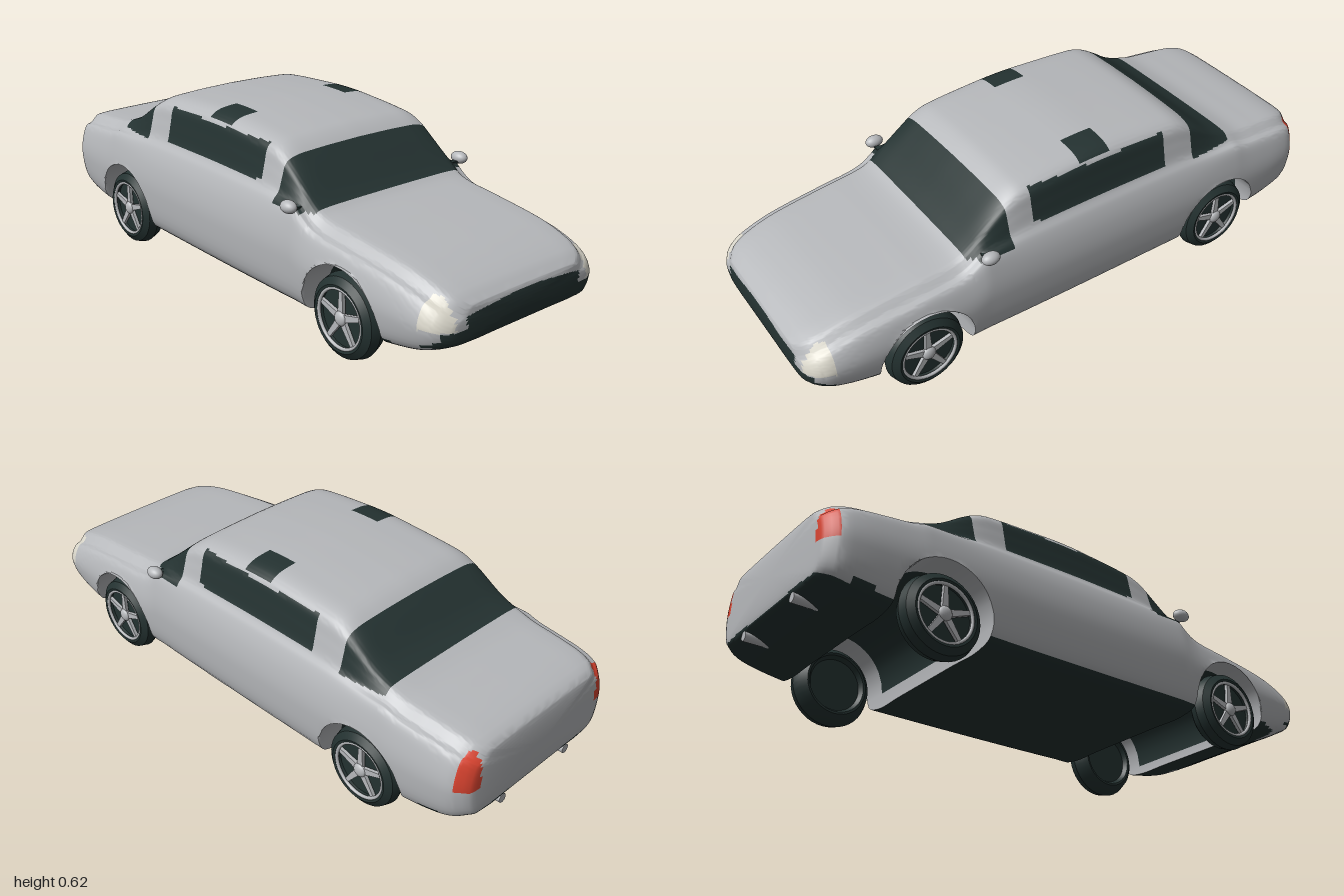
import * as THREE from 'three';
import { toCreasedNormals } from 'three/addons/utils/BufferGeometryUtils.js';

const mat = (name, color) => Object.assign(new THREE.MeshStandardMaterial({ color }), { name });

// Smooth interpolation through [z, value] keys, z descending
function profile(keys) {
  const slope = (i) => {
    const a = keys[Math.max(0, i - 1)], b = keys[Math.min(keys.length - 1, i + 1)];
    return (b[1] - a[1]) / (b[0] - a[0]);
  };
  return (z) => {
    if (z >= keys[0][0]) return keys[0][1];
    for (let i = 0; i < keys.length - 1; i++) {
      const [z0, v0] = keys[i], [z1, v1] = keys[i + 1];
      if (z < z1) continue;
      const h = z1 - z0, t = (z - z0) / h, t2 = t * t, t3 = t2 * t;
      return v0 * (2 * t3 - 3 * t2 + 1) + v1 * (3 * t2 - 2 * t3)
        + h * (slope(i) * (t3 - 2 * t2 + t) + slope(i + 1) * (t3 - t2));
    }
    return keys[keys.length - 1][1];
  };
}

const topY = profile([[0.985, 0.295], [0.96, 0.315], [0.9, 0.34], [0.8, 0.365], [0.6, 0.39], [0.46, 0.408],
  [0.4, 0.44], [0.3, 0.53], [0.25, 0.572], [0.2, 0.594], [0, 0.616], [-0.1, 0.621], [-0.2, 0.618],
  [-0.4, 0.605], [-0.45, 0.592], [-0.5, 0.562], [-0.6, 0.49], [-0.7, 0.452], [-0.8, 0.44], [-0.9, 0.43],
  [-0.96, 0.415], [-0.985, 0.4]]);
const bottomY = profile([[0.985, 0.175], [0.9, 0.14], [0.8, 0.118], [0.72, 0.108], [0.45, 0.095],
  [-0.45, 0.095], [-0.72, 0.108], [-0.9, 0.135], [-0.985, 0.165]]);
const halfWidth = profile([[0.985, 0.305], [0.97, 0.33], [0.94, 0.35], [0.9, 0.36], [0.8, 0.37], [0.6, 0.379],
  [0.3, 0.385], [-0.3, 0.385], [-0.6, 0.385], [-0.8, 0.379], [-0.9, 0.371], [-0.95, 0.358], [-0.985, 0.325]]);

const AXLE_Z = 0.6, ARCH_R = 0.168, ARCH_Y = 0.143, END = 0.985;
const archY = (z) => {
  const d = Math.abs(z) - AXLE_Z;
  return ARCH_Y + Math.sqrt(Math.max(0, ARCH_R * ARCH_R - d * d));
};

// Closed cross-section: floor centre, up the left flank, over the top and down the other side
function section(z, inArch) {
  const W = halfWidth(z), T = topY(z), b = bottomY(z), S = Math.min(0.42, T - 0.04);
  const h = T - S, k = S - b;
  const pts = [[0, b], [0.4, b], [0.76, b], [0.93, b + 0.08 * k], [1, b + 0.5 * k], [0.98, b + 0.8 * k], [0.925, S],
    [0.87, S + 0.17 * h], [0.83, S + 0.5 * h], [0.79, S + 0.8 * h], [0.7, S + 0.92 * h], [0.45, S + 0.975 * h], [0, T]]
    .map(([x, y]) => new THREE.Vector3(x * W, y, 0));
  const n = (pts.length - 1) * 6;
  const half = new THREE.CatmullRomCurve3(pts).getPoints(n);
  const floor = inArch ? archY(z) : -1;
  for (const p of half) p.y = Math.max(p.y, floor);
  const mirror = half.slice(1, -1).reverse().map((p) => new THREE.Vector3(-p.x, p.y, 0));
  return [...half, ...mirror];
}

// Paint layout: 0 body, 1 dark trim and glass, 2 headlight, 3 tail light
function paint(c, n) {
  const x = Math.abs(c.x), { y, z } = c;
  const nearArch = Math.abs(Math.abs(z) - AXLE_Z) < ARCH_R + 0.001;
  if (nearArch && y < 0.313 && Math.abs(n.x) < 0.3 && n.y < 0.01) {
    return x > 0.28 || (Math.abs(n.z) > 0.9 && y < 0.13) ? 0 : 1;
  }
  // Nose: headlights, grille and lower bumper
  if (z > 0.91 && x > 0.285 && y > 0.224 && y < 0.315) return 2;
  if (z > 0.95 && y > 0.165) {
    if (x < 0.245 && y < 0.28 - 0.35 * x * x) return 1;
    if (x < 0.32 && y < 0.222) return 1;
  }
  if (z > 0.8 && y < 0.168) return x > 0.21 && y > 0.136 ? 0 : 1;
  // Tail lights
  if (z < -0.95 && x > 0.285 && y > 0.275 && y < 0.395) return 3;
  // Underside and sills
  if (y < bottomY(z) + (z < -0.9 ? 0.012 : 0.029)) return 1;
  // Windscreen, rear window, side windows and roof panels
  if (z > 0.27 && z < 0.425 && y > 0.41) return 1;
  if (z < -0.48 && z > -0.655 && y > 0.437) return 1;
  if (z < 0.18 && z > -0.36 && x > 0.25 && y > 0.455 && y < 0.575) return 1;
  if (z < -0.02 && z > -0.14 && x > 0.2 && y > 0.585) return 1;
  return 0;
}

function bodyGeometry() {
  // Stations along the length, with extra ones on the paint and arch edges
  const zs = [0.27, 0.425, -0.48, -0.655, 0.18, -0.36, -0.02, -0.14, 0.91, -0.95, 0.95];
  for (let i = 0; i <= 140; i++) zs.push(END - (i / 140) * 2 * END);
  const stations = zs.map((z) => ({ z, arch: Math.abs(Math.abs(z) - AXLE_Z) < ARCH_R }));
  for (const s of [1, -1]) for (const e of [1, -1]) {
    const z = s * AXLE_Z + e * ARCH_R;
    stations.push({ z: z + e * 1e-5, arch: false }, { z: z - e * 1e-5, arch: true });
  }
  stations.sort((a, b) => b.z - a.z);
  const rings = stations.map(({ z, arch }) => section(z, arch).map((p) => p.setZ(z)));
  // Gently domed nose and tail
  const cap = (ring, sign) => {
    const cy = (topY(sign * END) + bottomY(sign * END)) / 2;
    return Array.from({ length: 24 }, (_, i) => {
      const s = i / 24;
      return ring.map((p) => new THREE.Vector3(p.x * s, cy + (p.y - cy) * s,
        sign * (END + (1 - END) * Math.sqrt(1 - s * s))));
    });
  };
  const all = [...cap(rings[0], 1), ...rings, ...cap(rings[rings.length - 1], -1).reverse()];

  const buckets = [[], [], [], []], n = all[0].length;
  const tri = new THREE.Triangle(), c = new THREE.Vector3(), normal = new THREE.Vector3();
  const flat = all.flat();
  const add = (tris) => {
    c.set(0, 0, 0);
    normal.set(0, 0, 0);
    for (const t of tris) {
      tri.set(flat[t[0]], flat[t[1]], flat[t[2]]);
      normal.addScaledVector(tri.getNormal(new THREE.Vector3()), tri.getArea());
      c.add(tri.getMidpoint(new THREE.Vector3()));
    }
    const slot = paint(c.divideScalar(2), normal.normalize());
    for (const t of tris) {
      tri.set(flat[t[0]], flat[t[1]], flat[t[2]]);
      if (tri.getArea() > 1e-9) buckets[slot].push(...t);
    }
  };
  for (let i = 0; i < all.length - 1; i++) for (let j = 0; j < n; j++) {
    const k = (j + 1) % n, a = i * n + j, b = i * n + k, d = a + n, e = b + n;
    add([[a, d, b], [b, d, e]]);
  }
  const geo = new THREE.BufferGeometry().setFromPoints(flat);
  geo.setIndex(buckets.flat());
  let start = 0;
  buckets.forEach((list, m) => {
    geo.addGroup(start, list.length, m);
    start += list.length;
  });
  return toCreasedNormals(geo, 0.7);
}

export function createModel() {
  const silver = mat('silver paint', 0xb6b8bb), dark = mat('dark glass and rubber', 0x243231);
  const cream = mat('headlight cream', 0xd9d6ca), red = mat('tail light red', 0xd9432f);
  const car = new THREE.Group();
  car.name = 'car';
  const mesh = (name, geo, material, parent, x = 0, y = 0, z = 0) => {
    const m = new THREE.Mesh(geo, material);
    m.name = name;
    m.position.set(x, y, z);
    parent.add(m);
    return m;
  };
  mesh('body', bodyGeometry(), [silver, dark, cream, red], car);

  // Wheel parts, axis along x with the outer face at +x
  const tyreGeo = toCreasedNormals(new THREE.LatheGeometry([[0, -0.03], [0.09, -0.03], [0.1, -0.046], [0.108, -0.047],
    [0.126, -0.03], [0.138, 0], [0.13, 0.03], [0.108, 0.046], [0.1, 0.044], [0.096, 0.022], [0, 0.022]]
    .map(([r, y]) => new THREE.Vector2(r, y)), 40).rotateZ(-Math.PI / 2), 0.6);
  const rimGeo = new THREE.TorusGeometry(0.096, 0.006, 8, 40).rotateY(Math.PI / 2);
  const hubGeo = new THREE.SphereGeometry(0.024, 20, 12).scale(0.55, 1, 1);
  const spokeShape = new THREE.Shape([[-0.012, 0.01], [0.012, 0.01], [0.007, 0.095], [-0.007, 0.095]]
    .map(([x, y]) => new THREE.Vector2(x, y)));
  const spokeGeo = new THREE.ExtrudeGeometry(spokeShape, { depth: 0.012, bevelEnabled: false }).rotateY(Math.PI / 2);

  for (const side of [1, -1]) {
    const label = side > 0 ? 'left' : 'right';
    for (const end of [1, -1]) {
      const wheel = new THREE.Group();
      wheel.name = `${label}${end > 0 ? 'Front' : 'Rear'}Wheel`;
      wheel.position.set(side * 0.327, 0.141, end * AXLE_Z);
      if (side < 0) wheel.rotation.y = Math.PI;
      mesh('tyre', tyreGeo, dark, wheel);
      mesh('rim', rimGeo, silver, wheel, 0.039);
      mesh('hub', hubGeo, silver, wheel, 0.036);
      for (let i = 0; i < 5; i++) mesh('spoke', spokeGeo, silver, wheel, 0.026).rotation.x = (i * Math.PI * 2) / 5;
      car.add(wheel);
    }
    // Door mirror on a short stalk
    const mirror = mesh(`${label}Mirror`, new THREE.SphereGeometry(1, 24, 16), silver, car, side * 0.375, 0.432, 0.37);
    mirror.scale.set(0.023, 0.021, 0.032);
    mesh(`${label}MirrorStalk`, new THREE.BoxGeometry(0.05, 0.009, 0.018), dark, car, side * 0.343, 0.421, 0.372);
    // Exhaust tip
    mesh(`${label}Exhaust`, new THREE.CylinderGeometry(0.016, 0.016, 0.1, 20).rotateX(Math.PI / 2), silver, car,
      side * 0.16, 0.152, -0.94);
  }
  return car;
}
